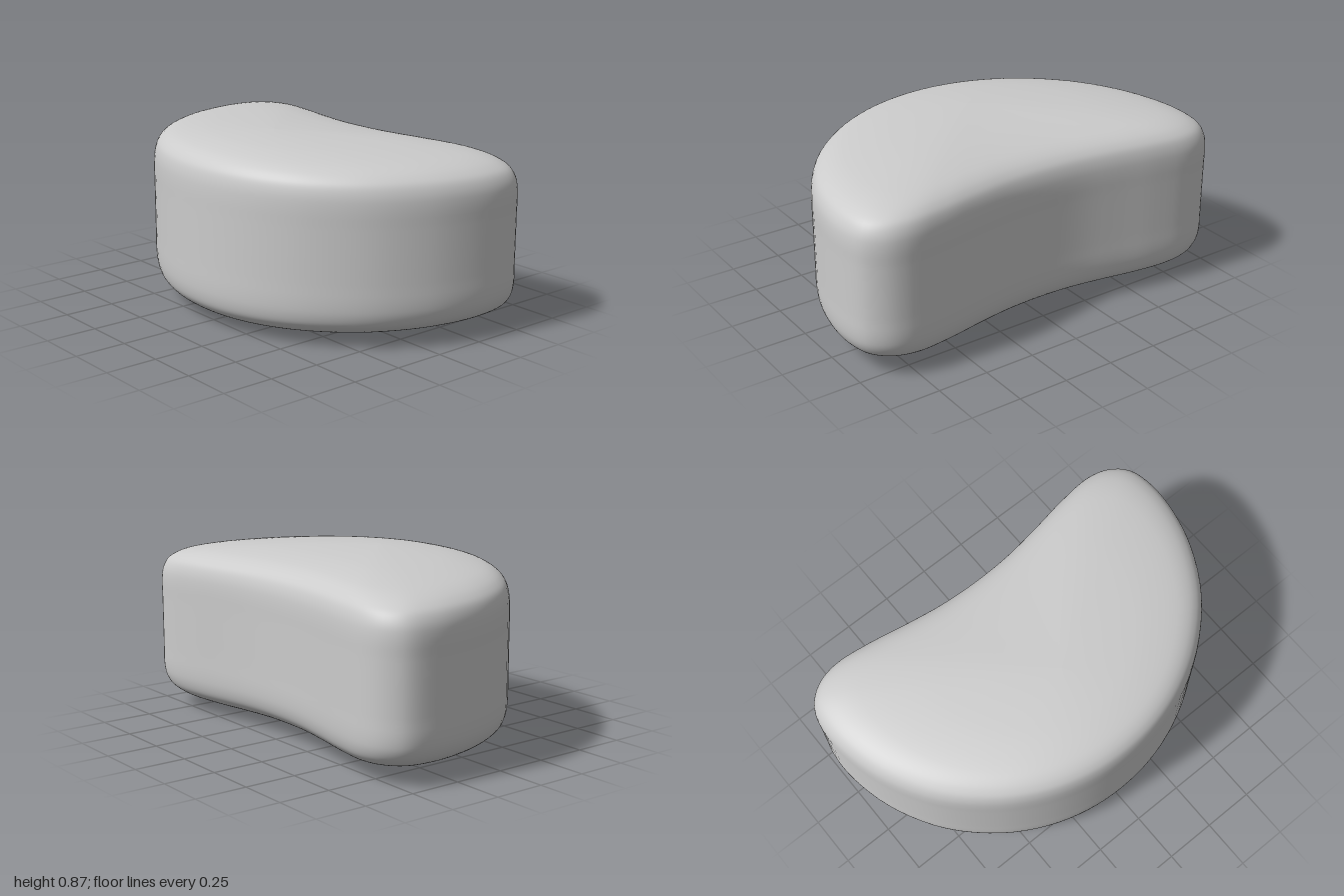
import * as THREE from 'three';

// Smooth curve through 2D points, sampled evenly in parameter
function sample(points, closed, count) {
  const curve = new THREE.CatmullRomCurve3(points.map(([a, b]) => new THREE.Vector3(a, b, 0)), closed, 'centripetal');
  return Array.from({ length: count + 1 }, (_, i) => curve.getPoint(i / count));
}

export function createModel() {
  const centreX = -0.13, midY = 0.435;

  // Bean outline (x, z): one half from the rounded back to the hollow, then mirrored
  const half = [[-0.608, 0], [-0.589, 0.2], [-0.527, 0.4], [-0.412, 0.6], [-0.222, 0.797], [0, 0.926],
    [0.2, 0.985], [0.37, 0.998], [0.5, 0.968], [0.573, 0.89], [0.603, 0.78], [0.588, 0.6], [0.553, 0.4],
    [0.524, 0.2], [0.515, 0]];
  const mirrored = half.slice(1, -1).reverse().map(([x, z]) => [x, -z]);
  const segments = 112;
  const outline = sample([...half, ...mirrored], true, segments);

  // Profile (scale towards the centre, height from the middle): straight wall, soft rim, domed cap
  const upper = [[1, 0.12], [1, 0.22], [0.991, 0.275], [0.968, 0.318], [0.93, 0.346], [0.88, 0.367],
    [0.8, 0.386], [0.6, 0.41], [0.4, 0.423], [0.2, 0.431], [0, 0.435]];
  const lower = upper.map(([s, y]) => [s, -y]).reverse();
  const rings = 84;
  const profile = sample([...lower, ...upper], false, rings);

  // Stack scaled outlines from the underside to the top
  const positions = [], index = [];
  profile.forEach((p, i) => {
    for (let j = 0; j < segments; j++) {
      const o = outline[j];
      positions.push(centreX + (o.x - centreX) * p.x, midY + p.y, o.y * p.x);
      if (i === rings) continue;
      const next = (j + 1) % segments;
      const a = i * segments + j, b = i * segments + next;
      const d = a + segments, c = b + segments;
      // The rings at both poles close to a point, so they need one triangle each
      if (i > 0) index.push(a, b, c);
      if (i < rings - 1) index.push(a, c, d);
    }
  });
  const geometry = new THREE.BufferGeometry();
  geometry.setAttribute('position', new THREE.Float32BufferAttribute(positions, 3));
  geometry.setIndex(index);
  geometry.computeVertexNormals();

  const body = new THREE.Mesh(geometry, new THREE.MeshStandardMaterial({ color: 0xcccccc }));
  body.name = 'beanBody';
  const group = new THREE.Group();
  group.name = 'bean';
  group.add(body);
  return group;
}
